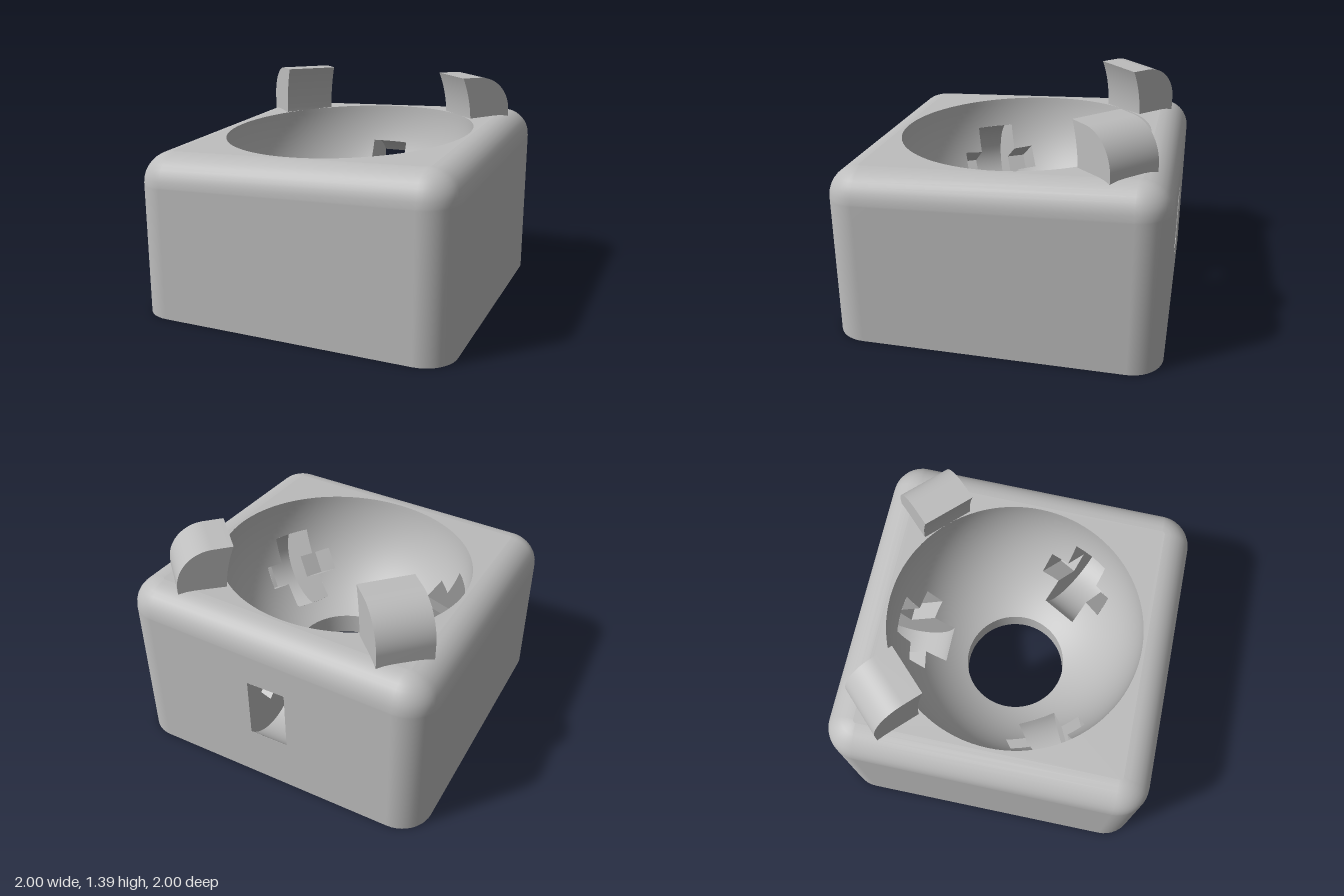
import * as THREE from 'three';
import { mergeVertices, mergeGeometries, toCreasedNormals } from 'three/addons/utils/BufferGeometryUtils.js';

const R = 0.8, CY = 1.08;                         // ball socket radius and centre height
const HOLE = 0.335, RECESS = 0.21;                // drain hole radius, underside recess depth
const RHO = 0.312, DC = 0.93, HT = 0.125;         // roller pocket radius, axis depth, half width
const PT = 0.25, PH = 0.08, PD = DC + 0.08;       // axle channel half length, half height, depth
const { sin, cos, sqrt, acos, atan2, asin, PI } = Math;

const topY = (x, z) => CY + 0.035 * x - 0.036 * z; // sloping top

// surface from a grid of points f(i, j)
function grid(f, nu, nv, smooth = true) {
  const pos = [], idx = [];
  for (let j = 0; j <= nv; j++) for (let i = 0; i <= nu; i++) pos.push(...f(i, j));
  for (let j = 0; j < nv; j++) for (let i = 0; i < nu; i++) {
    const a = j * (nu + 1) + i, b = a + nu + 1;
    idx.push(a, b, a + 1, a + 1, b, b + 1);
  }
  let g = new THREE.BufferGeometry();
  g.setAttribute('position', new THREE.Float32BufferAttribute(pos, 3));
  g.setIndex(idx);
  if (smooth) g = mergeVertices(g);
  else g = g.toNonIndexed();
  g.computeVertexNormals();
  return g.index ? g.toNonIndexed() : g;
}

// flat shape whose 2D points are placed in space by a rule
function sheet(points, place, holes = []) {
  const s = new THREE.Shape(points);
  s.holes = holes.map((h) => new THREE.Path(h));
  const g = new THREE.ShapeGeometry(s).toNonIndexed(), p = g.attributes.position;
  g.deleteAttribute('uv');
  for (let i = 0; i < p.count; i++) p.setXYZ(i, ...place(p.getX(i), p.getY(i)));
  g.computeVertexNormals();
  return g;
}

// cut a convex region (planes [nx, ny, nz, d], inside where n.p < d) out of a surface
function cut(g, planes, matrix = new THREE.Matrix4()) {
  g = g.clone().applyMatrix4(matrix.clone().invert());
  const p = g.attributes.position, n = g.attributes.normal, pos = [], nor = [];
  const emit = (poly) => {
    for (let k = 1; k + 1 < poly.length; k++) for (const v of [poly[0], poly[k], poly[k + 1]]) {
      pos.push(v[0], v[1], v[2]);
      nor.push(v[3], v[4], v[5]);
    }
  };
  for (let i = 0; i < p.count; i += 3) {
    const tri = [0, 1, 2].map((k) => [p.getX(i + k), p.getY(i + k), p.getZ(i + k),
      n.getX(i + k), n.getY(i + k), n.getZ(i + k)]);
    let rest = tri;
    const kept = [];
    for (const [a, b, c, d] of planes) {
      const inside = [], outside = [];
      rest.forEach((v, k) => {
        const w = rest[(k + 1) % rest.length];
        const dv = a * v[0] + b * v[1] + c * v[2] - d, dw = a * w[0] + b * w[1] + c * w[2] - d;
        (dv < 0 ? inside : outside).push(v);
        if (dv < 0 !== dw < 0) {
          const m = v.map((q, e) => q + (w[e] - q) * dv / (dv - dw));
          inside.push(m);
          outside.push(m);
        }
      });
      if (outside.length > 2) kept.push(outside);
      rest = inside;
      if (rest.length < 3) break;
    }
    if (rest.length < 3) emit(tri);
    else kept.forEach(emit);
  }
  const out = new THREE.BufferGeometry();
  out.setAttribute('position', new THREE.Float32BufferAttribute(pos, 3));
  out.setAttribute('normal', new THREE.Float32BufferAttribute(nor, 3));
  return out.applyMatrix4(matrix);
}

// rounded square and circle outlines
function roundedSquare(s, r, n = 10) {
  const pts = [];
  for (let q = 0; q < 4; q++) for (let i = 0; i <= n; i++) {
    const a = (q + i / n) * PI / 2, sx = q === 0 || q === 3 ? 1 : -1, sz = q < 2 ? 1 : -1;
    pts.push(new THREE.Vector2(sx * (s - r) + r * cos(a), sz * (s - r) + r * sin(a)));
  }
  return pts;
}
const ring = (n, f) => Array.from({ length: n }, (_, i) => new THREE.Vector2(...f(i / n * 2 * PI)));
const walls = (pts, y0, y1, smooth) => grid((i, j) => {
  const p = pts[i % pts.length];
  return [p.x, j ? y1 : y0, p.y];
}, pts.length, 1, smooth);

// roller pocket in its own frame: x along the axle, z outward from the ball centre
function rollerPocket(axleBox) {
  const edge = (t) => acos((R * R - t * t - DC * DC - RHO * RHO) / (2 * DC * RHO));
  const rim = (a) => [RHO * sin(a), DC + RHO * cos(a)];
  const parts = [grid((i, j) => {
    const t = -HT + 2 * HT * j / 4;
    return [t, ...rim((i / 20 - 1) * edge(t))];
  }, 40, 4)];
  for (const side of [-1, 1]) {
    const t = side * HT, e = edge(t), r = sqrt(R * R - t * t), pts = [];
    for (let i = 0; i <= 40; i++) pts.push(new THREE.Vector2(...rim((i / 20 - 1) * e)));
    const g = asin(RHO * sin(e) / r);
    for (let i = 1; i < 16; i++) pts.push(new THREE.Vector2(r * sin(g * (1 - i / 8)), r * cos(g * (1 - i / 8))));
    parts.push(cut(sheet(pts, (h, d) => [t, h, d]), axleBox));
    // axle channel
    const u = [[HT, -PH], [(HT + PT) / 2, -PH], [PT, -PH], [PT, PH], [(HT + PT) / 2, PH], [HT, PH]];
    parts.push(grid((i, j) => {
      const [a, h] = u[i];
      return [side * a, h, j ? PD : sqrt(R * R - a * a - h * h)];
    }, 5, 1, false));
    parts.push(grid((i, j) => [side * (i ? PT : HT), j ? PH : -PH, PD], 1, 1, false));
  }
  return mergeGeometries(parts);
}

export function createModel() {
  const model = new THREE.Group();
  const grey = new THREE.MeshStandardMaterial({ color: 0xbdbdbd, side: THREE.DoubleSide });
  grey.name = 'grey plastic';
  const add = (name, g) => {
    const m = new THREE.Mesh(g, grey);
    m.name = name;
    model.add(m);
    return m;
  };

  // cutting regions for the pockets
  const axleBox = [[1, 0, 0, PT], [-1, 0, 0, PT], [0, 1, 0, PH], [0, -1, 0, PH], [0, 0, -1, 0], [0, 0, 1, PD]];
  const rollerDrum = [[1, 0, 0, HT], [-1, 0, 0, HT]];
  for (let i = 0; i < 48; i++) {
    const a = i / 48 * 2 * PI;
    rollerDrum.push([0, sin(a), cos(a), RHO + DC * cos(a)]);
  }
  const tilt = 0.62;
  const frames = [-PI / 2, PI / 6, PI * 5 / 6].map((a) => {
    const N = new THREE.Vector3(cos(a) * cos(tilt), -sin(tilt), sin(a) * cos(tilt));
    const H = new THREE.Vector3(cos(a) * sin(tilt), cos(tilt), sin(a) * sin(tilt));
    return new THREE.Matrix4().makeBasis(H.clone().cross(N), H, N).setPosition(0, CY, 0);
  });

  // outer shell with rounded top edge, and the rear window
  const E = 0.18, rows = [[0, null], [0, E + 0.01]];
  for (let i = 0; i <= 8; i++) rows.push([E * (1 - cos(i * PI / 16)), E * (1 - sin(i * PI / 16))]);
  const loops = rows.map(([inset]) => roundedSquare(1 - inset, 0.2 - inset));
  const shell = grid((i, j) => {
    const p = loops[j][i % loops[j].length], drop = rows[j][1];
    return [p.x, drop === null ? 0 : topY(p.x, p.y) - drop, p.y];
  }, loops[0].length, rows.length - 1);
  add('outerShell', cut(shell, rollerDrum, frames[0]));

  // sloping top around the socket
  const rise = (a) => atan2(0.035 * cos(a) - 0.036 * sin(a), 1);
  const mouth = ring(96, (a) => [R * cos(rise(a)) * cos(a), R * cos(rise(a)) * sin(a)]);
  add('topFace', sheet(loops.at(-1), (x, z) => [x, topY(x, z), z], [mouth]));

  // ball socket with three roller pockets
  const low = -acos(HOLE / R);
  let socket = grid((i, j) => {
    const a = (i % 96) / 96 * 2 * PI, e = low + (rise(a) - low) * j / 28;
    return [R * cos(e) * cos(a), CY + R * sin(e), R * cos(e) * sin(a)];
  }, 96, 28);
  for (const f of frames) socket = cut(cut(socket, rollerDrum, f), axleBox, f);
  add('ballSocket', socket);
  const pocket = rollerPocket(axleBox);
  frames.forEach((f, i) => {
    const g = pocket.clone().applyMatrix4(f);
    add('rollerPocket', i ? g : cut(g, [[0, 0, 1, -1]]));
  });

  // underside: recess, drain hole and keyhole slots
  const hole = ring(64, (a) => [HOLE * cos(a), HOLE * sin(a)]);
  const recess = [[0.89, 0.56], [-0.89, 0.56], [-0.89, -0.56], [0.89, -0.56]].map((p) => new THREE.Vector2(...p));
  const keyholes = [];
  for (const sx of [-1, 1]) for (const sz of [-1, 1]) {
    const pts = [], r = 0.13, w = 0.07, a0 = PI - asin(w / r);
    for (let i = 0; i <= 24; i++) {
      const a = -a0 + 2 * a0 * i / 24;
      pts.push(new THREE.Vector2(sx * (0.76 + r * cos(a)), sz * (0.78 + r * sin(a))));
    }
    for (let i = 0; i <= 12; i++) {
      const a = PI / 2 + PI * i / 12;
      pts.push(new THREE.Vector2(sx * (0.54 + w * cos(a)), sz * (0.78 + w * sin(a))));
    }
    keyholes.push(pts);
  }
  add('underside', sheet(loops[0], (x, z) => [x, 0, z], [recess, ...keyholes]));
  add('recessWalls', walls(recess, 0, RECESS, false));
  add('recessCeiling', sheet(recess, (x, z) => [x, RECESS, z], [hole]));
  add('drainHole', walls(hole, RECESS, CY + R * sin(low), true));
  for (const k of keyholes) {
    add('keyholeWalls', walls(k, 0, 0.2, false));
    add('keyholeEnd', sheet(k, (x, z) => [x, 0.2, z]));
  }

  // two curved retaining claws at the rear corners
  const claw = new THREE.Shape();
  claw.moveTo(1.09, 1.0);
  claw.lineTo(1.09, 1.16);
  claw.absellipse(0.86, 1.16, 0.23, 0.23, 0, PI / 2, false);
  claw.lineTo(sqrt(R * R - 0.31 * 0.31), 1.39);
  claw.absarc(0, CY, R, asin(0.31 / R), 0, true);
  claw.lineTo(R, 1.0);
  const clawGeo = toCreasedNormals(
    new THREE.ExtrudeGeometry(claw, { depth: 0.34, bevelEnabled: false, curveSegments: 14 }).translate(0, 0, -0.17), 0.5);
  for (const a of [PI / 4, PI * 3 / 4]) add('claw', clawGeo).rotation.y = a;

  return model;
}
